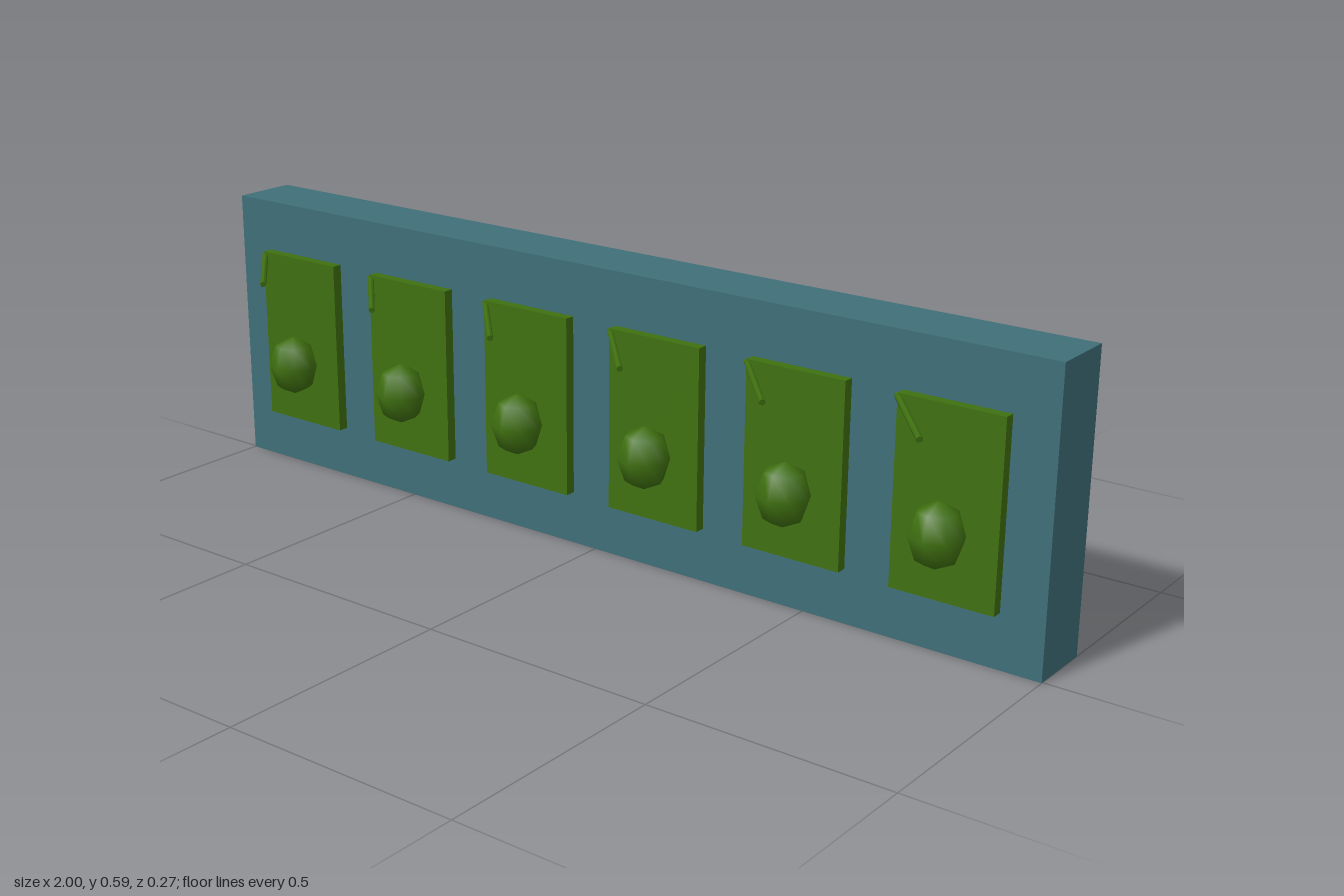
import * as THREE from 'three';

const wallMat = new THREE.MeshStandardMaterial({ color: 0x3f6f78 });
const unitMat = new THREE.MeshStandardMaterial({ color: 0x3f7010 });

function add(parent, name, geometry, material, x, y, z) {
  const mesh = new THREE.Mesh(geometry, material);
  mesh.name = name;
  mesh.position.set(x, y, z);
  parent.add(mesh);
  return mesh;
}

// Straight hexagonal bar between two points
function addRod(parent, name, a, b, radius) {
  const dir = b.clone().sub(a);
  const mid = a.clone().add(b).multiplyScalar(0.5);
  const rod = add(parent, name, new THREE.CylinderGeometry(radius, radius, dir.length(), 6), unitMat, mid.x, mid.y, mid.z);
  rod.quaternion.setFromUnitVectors(new THREE.Vector3(0, 1, 0), dir.normalize());
}

// One mounting plate with its low-poly knob and slanted peg
function createPanel() {
  const panel = new THREE.Group();
  panel.name = 'panel';
  add(panel, 'plate', new THREE.BoxGeometry(0.215, 0.373, 0.022), unitMat, 0, 0.2965, 0.014);
  const knob = add(panel, 'knob', new THREE.SphereGeometry(1, 8, 4), unitMat, 0, 0.247, 0.052);
  knob.scale.set(0.055, 0.065, 0.053);
  addRod(panel, 'peg', new THREE.Vector3(-0.113, 0.475, 0.015), new THREE.Vector3(0, 0.448, 0.131), 0.0065);
  return panel;
}

export function createModel() {
  const model = new THREE.Group();
  model.name = 'wallRack';

  // Backing slab
  add(model, 'wall', new THREE.BoxGeometry(2, 0.593, 0.138), wallMat, 0, 0.2965, -0.066);

  // Row of six identical panels
  for (let i = 0; i < 6; i++) {
    const panel = createPanel();
    panel.position.x = -0.807 + i * 0.322;
    model.add(panel);
  }
  return model;
}
